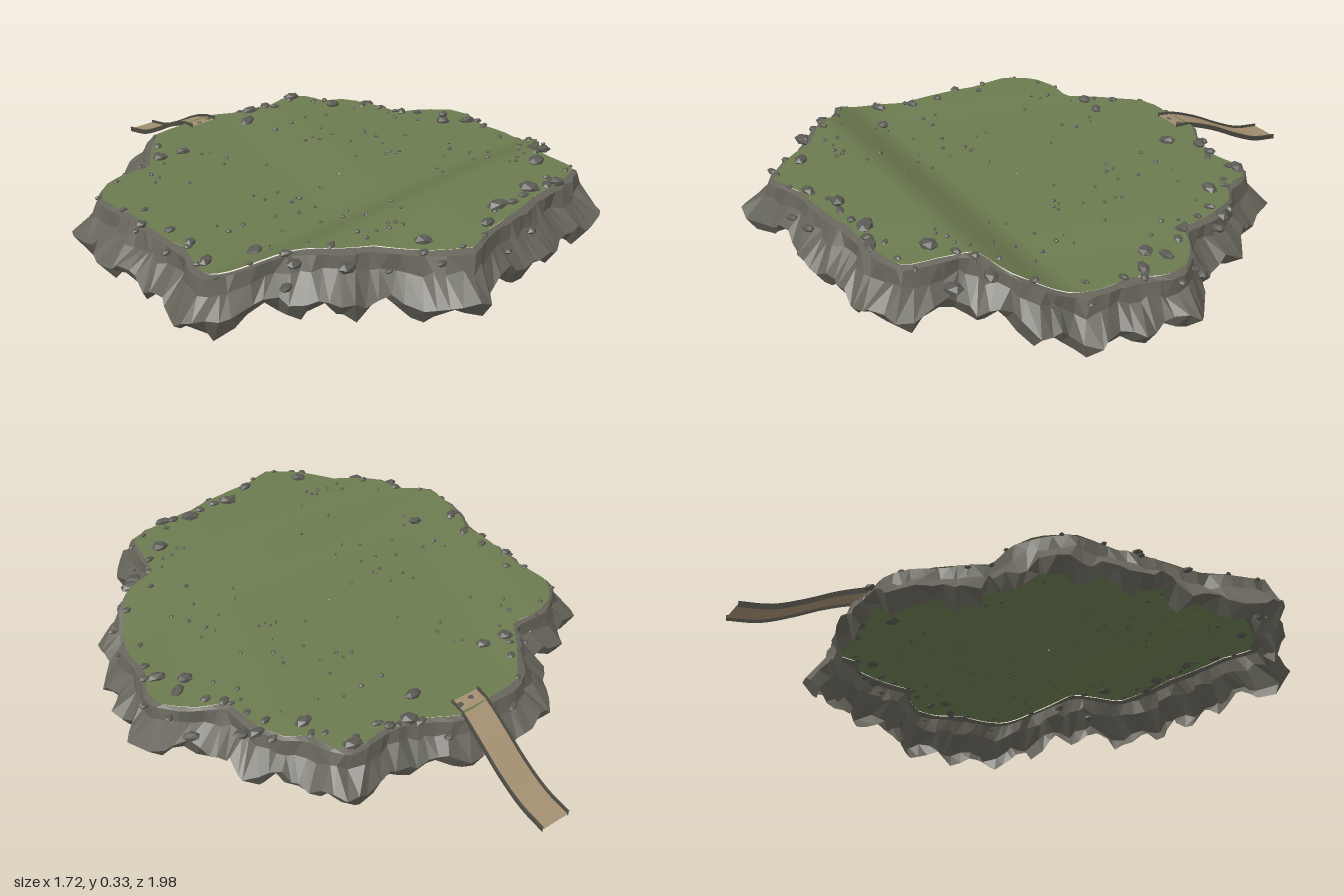
import * as THREE from 'three';
import { mergeVertices } from 'three/addons/utils/BufferGeometryUtils.js';

const CZ = 0.13; // the island's plan is measured by angle around (0, CZ)

// Plan outlines as x, z pairs
const GRASS = [0.03, -0.6, 0.1, -0.56, 0.18, -0.51, 0.28, -0.51, 0.36, -0.53, 0.43, -0.5, 0.45, -0.4, 0.52, -0.36,
  0.56, -0.25, 0.57, -0.12, 0.66, -0.08, 0.74, 0, 0.75, 0.08, 0.7, 0.17, 0.7, 0.3, 0.65, 0.42, 0.58, 0.51,
  0.46, 0.54, 0.44, 0.65, 0.42, 0.76, 0.3, 0.79, 0.15, 0.8, 0, 0.83, -0.12, 0.84, -0.24, 0.88, -0.34, 0.8,
  -0.42, 0.68, -0.53, 0.6, -0.6, 0.5, -0.73, 0.45, -0.76, 0.35, -0.7, 0.2, -0.7, 0.05, -0.68, -0.1,
  -0.69, -0.24, -0.62, -0.33, -0.52, -0.36, -0.42, -0.35, -0.37, -0.42, -0.3, -0.5, -0.22, -0.58, -0.1, -0.59];
const FOOT = [0.05, -0.67, 0.16, -0.6, 0.3, -0.58, 0.46, -0.6, 0.53, -0.45, 0.57, -0.37, 0.65, -0.33, 0.66, -0.2,
  0.7, -0.1, 0.77, -0.06, 0.86, 0.03, 0.8, 0.11, 0.84, 0.2, 0.77, 0.24, 0.8, 0.36, 0.73, 0.39, 0.72, 0.51,
  0.62, 0.52, 0.59, 0.6, 0.49, 0.63, 0.5, 0.79, 0.41, 0.88, 0.19, 0.89, 0.06, 0.93, -0.08, 0.9, -0.2, 0.92,
  -0.3, 1, -0.44, 0.83, -0.45, 0.74, -0.55, 0.72, -0.66, 0.62, -0.67, 0.53, -0.8, 0.48, -0.87, 0.35,
  -0.8, 0.2, -0.79, 0.05, -0.81, -0.15, -0.75, -0.2, -0.77, -0.34, -0.64, -0.36, -0.62, -0.43, -0.46, -0.42,
  -0.46, -0.49, -0.38, -0.55, -0.35, -0.65, -0.16, -0.69];

let seed = 11;
const rand = (a = 0, b = 1) => {
  seed = (seed * 16807) % 2147483647;
  return a + (b - a) * (seed / 2147483647);
};

// Turns an outline into a function: angle -> radius
function polar(outline) {
  const pts = [];
  for (let i = 0; i < outline.length; i += 2) {
    const x = outline[i], z = outline[i + 1] - CZ;
    pts.push([Math.atan2(z, x), Math.hypot(x, z)]);
  }
  pts.sort((a, b) => a[0] - b[0]);
  const n = pts.length, T = Math.PI * 2;
  const ring = [[pts[n - 1][0] - T, pts[n - 1][1]], ...pts, [pts[0][0] + T, pts[0][1]]];
  return (angle) => {
    const a = Math.atan2(Math.sin(angle), Math.cos(angle));
    let i = 1;
    while (i < ring.length - 1 && ring[i][0] < a) i++;
    const [a0, r0] = ring[i - 1], [a1, r1] = ring[i];
    return r0 + (r1 - r0) * (a - a0) / Math.max(a1 - a0, 1e-6);
  };
}
const grassR = polar(GRASS), footR = polar(FOOT);

// Ground level: low plain stepping up to a terrace at the front
const ground = (x, z) => 0.21 + 0.095 * THREE.MathUtils.smoothstep(z, 0.33, 0.59)
  + 0.003 * Math.sin(6 * x + 2 * z);
const at = (angle, r, y) => {
  const x = Math.cos(angle) * r, z = CZ + Math.sin(angle) * r;
  return [x, Math.max(0, ground(x, z) + y), z];
};

// Joins rows of points into a surface
function surface(rows) {
  const w = rows[0].length, index = [];
  for (let i = 0; i < rows.length - 1; i++) {
    for (let j = 0; j < w - 1; j++) {
      const a = i * w + j, b = a + 1, c = a + w, d = c + 1;
      index.push(a, b, c, b, d, c);
    }
  }
  let g = new THREE.BufferGeometry();
  g.setAttribute('position', new THREE.Float32BufferAttribute(rows.flat(2), 3));
  g.setIndex(index);
  g = mergeVertices(g, 1e-5);
  g.computeVertexNormals();
  return g;
}
const faceted = (g) => {
  const f = g.index ? g.toNonIndexed() : g;
  f.computeVertexNormals();
  return f;
};

export function createModel() {
  const model = new THREE.Group();
  const mat = (name, color, side = THREE.FrontSide) => {
    const m = new THREE.MeshStandardMaterial({ color, side });
    m.name = name;
    return m;
  };
  const grassMat = mat('grass green', 0x6c7b50, THREE.DoubleSide);
  const cliffMat = mat('cliff grey', 0x66645a, THREE.DoubleSide);
  const stoneMat = mat('stone grey', 0x5a5953);
  const pathMat = mat('path tan', 0xa38e70, THREE.DoubleSide);
  const kerbMat = mat('kerb dark grey', 0x4c4b42, THREE.DoubleSide);
  const add = (name, geometry, material, parent = model) => {
    const mesh = new THREE.Mesh(geometry, material);
    mesh.name = name;
    parent.add(mesh);
    return mesh;
  };

  // Grass sheet: rings shrinking to the centre
  const N = 144, STEP = Math.PI * 2 / N;
  const grassRows = [];
  for (let i = 0; i <= 24; i++) {
    const row = [];
    for (let j = 0; j <= N; j++) {
      const a = (j % N) * STEP;
      row.push(at(a, Math.max(0.004, i / 24) * grassR(a), 0));
    }
    grassRows.push(row);
  }
  add('grass', surface(grassRows), grassMat);

  // Cliff skirt: leaning ridges flaring down to a jagged, tucked foot
  // Each level: spread from grass edge to foot outline, drop, jitter, lean
  const levels = [[-0.06, -0.005, 0, 0], [0.22, -0.012, 0.1, 0.1], [0.5, -0.06, 0.22, 0.5],
    [1, -0.125, 0.12, 1], [0.72, -0.165, 0.25, 1.5]];
  const cliffRows = levels.map(([spread, drop, jitter, lean], k) => {
    const row = [];
    for (let j = 0; j < N; j++) {
      const a = (j + lean + (k ? rand(-0.35, 0.35) : 0)) * STEP;
      const tooth = Math.abs(((j / 5.14) % 1) * 2 - 1);
      const s = spread - jitter * rand() - (k === 2 ? 0.2 * (1 - tooth) : 0);
      const r = grassR(a) + (Math.max(0.03, footR(a) - grassR(a))) * s;
      const dy = k === 4 ? 0.06 * (tooth - 0.5) : k === 3 ? 0.035 * (tooth - 0.5) : 0;
      row.push(at(a, r, drop - dy + (k > 1 ? rand(-0.012, 0.012) : 0)));
    }
    row.push(row[0]);
    return row;
  });
  add('cliff', faceted(surface(cliffRows)), cliffMat);

  // Boulders along the rim, lying on grass or on the cliff shoulder
  const stoneGeo = new THREE.IcosahedronGeometry(1, 0);
  const stones = new THREE.Group();
  stones.name = 'rimStones';
  model.add(stones);
  const stone = (x, z, size) => {
    const a = Math.atan2(z - CZ, x), r = Math.hypot(x, z - CZ);
    const f = Math.max(0, r - grassR(a)) / Math.max(0.03, footR(a) - grassR(a));
    const m = add('stone', stoneGeo, stoneMat, stones);
    m.position.set(x, ground(x, z) - 0.09 * f + size * 0.15, z);
    m.scale.set(size * rand(0.9, 1.2), size * 0.5, size * rand(0.6, 0.85));
    m.rotation.set(rand(-0.2, 0.2), rand(-0.7, 0.7), rand(-0.2, 0.2));
  };
  const placed = [-0.35, -0.39, -0.26, -0.38, 0.09, -0.44, 0.17, -0.52, 0.24, -0.51, 0.38, -0.51, 0.44, -0.34,
    0.57, -0.28, 0.6, -0.24, 0.58, -0.11, 0.7, -0.1, 0.67, 0.02, 0.62, 0.06, 0.69, 0.12, -0.7, -0.02, -0.67, 0.18,
    -0.71, 0.3, -0.57, 0.35, -0.66, 0.58, -0.61, 0.56, -0.52, 0.67, -0.31, 0.76, -0.1, 0.82, 0.01, 0.77,
    0.03, 0.88, 0.18, 0.76, 0.28, 0.79, 0.37, 0.65, 0.49, 0.64, 0.55, 0.55];
  for (let i = 0; i < placed.length; i += 2) stone(placed[i], placed[i + 1], rand(0.023, 0.034));
  for (let i = 0; i < 60; i++) {
    const a = i * Math.PI / 30 + rand(-0.05, 0.05);
    const r = grassR(a) + rand(-0.05, 0.05);
    stone(Math.cos(a) * r, CZ + Math.sin(a) * r, rand(0.011, 0.022));
  }

  // Pebbles scattered in two bands over the grass
  const pebbles = new THREE.Group();
  pebbles.name = 'pebbles';
  model.add(pebbles);
  for (let i = 0; i < 80; i++) {
    const x = (i % 2 ? 1 : -1) * rand(0.1, 0.56), z = rand(-0.34, 0.66);
    const m = add('pebble', stoneGeo, stoneMat, pebbles);
    m.position.set(x, ground(x, z) + 0.002, z);
    m.scale.set(1, 0.7, 0.8).multiplyScalar(rand(0.006, 0.01));
    m.rotation.y = rand(0, 3);
  }

  // Path winding down from the back edge, with a dark kerb on each side
  const curve = new THREE.CatmullRomCurve3([[-0.035, 0.213, -0.54], [-0.028, 0.205, -0.6], [-0.012, 0.17, -0.7],
    [-0.002, 0.12, -0.8], [0.002, 0.077, -0.9], [0.005, 0.06, -1]].map((p) => new THREE.Vector3(...p)));
  const line = curve.getPoints(20);
  const strip = (x0, y0, x1, y1) => surface([
    line.map((p) => [p.x + x0, p.y + y0, p.z]),
    line.map((p) => [p.x + x1, p.y + y1, p.z]),
  ].reverse());
  add('path', strip(-0.05, 0, 0.05, 0), pathMat);
  for (const s of [-1, 1]) {
    add('pathKerbSide', strip(s * 0.053, -0.01, s * 0.053, 0.008), kerbMat);
    add('pathKerbTop', strip(s * 0.053 - 0.004, 0.008, s * 0.053 + 0.004, 0.008), kerbMat);
  }
  return model;
}
